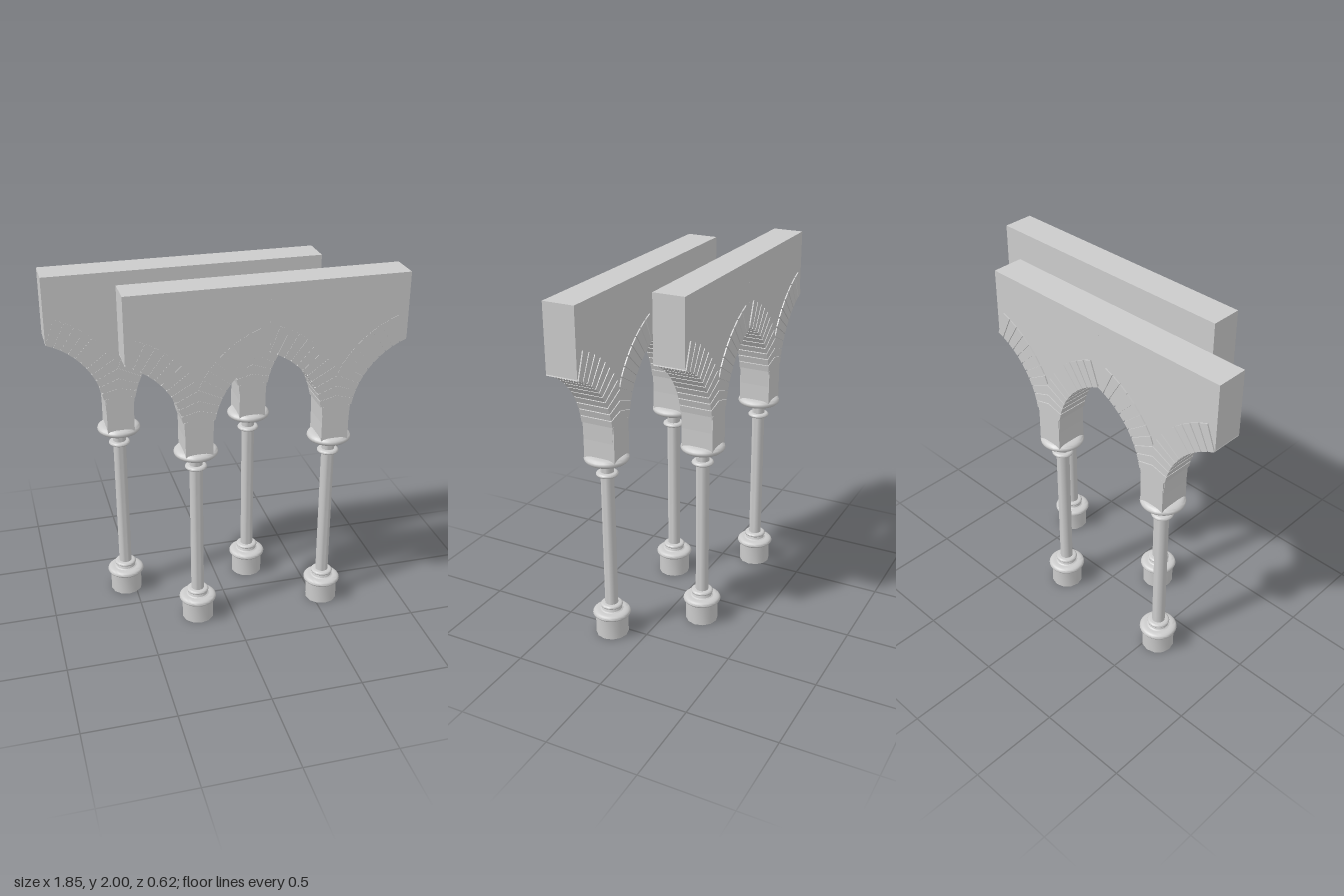
import * as THREE from 'three';
import { mergeGeometries, toCreasedNormals } from 'three/addons/utils/BufferGeometryUtils.js';

const material = new THREE.MeshStandardMaterial({ color: 0xcccccc });

const HALF = 0.375; // half width of one bay
const ARC = { x: 0.529, y: 1.212, r: 0.455, start: 170.8, end: 109.8 };

// Point on the arch at fraction t (springing to crown), offset outward
function archPoint(t, offset = 0) {
  const a = THREE.MathUtils.degToRad(ARC.start + (ARC.end - ARC.start) * t);
  const c = Math.cos(a), s = Math.sin(a);
  // keep the point between the column axis and the bay edge
  const r = Math.min(ARC.r + offset, ARC.x / -c);
  return new THREE.Vector2(Math.min(ARC.x + r * c, HALF), ARC.y + r * s);
}

const mirror = (points) => points.map((p) => new THREE.Vector2(-p.x, p.y));

function slab(points, zBack, zFront) {
  const g = new THREE.ExtrudeGeometry(new THREE.Shape(points), {
    depth: zFront - zBack, bevelEnabled: false,
  });
  return g.translate(0, 0, zBack);
}

function mesh(name, geometry) {
  const m = new THREE.Mesh(geometry, material);
  m.name = name;
  return m;
}

function lathe(points, segments) {
  const g = new THREE.LatheGeometry(points.map(([r, y]) => new THREE.Vector2(r, y)), segments);
  return toCreasedNormals(g, 0.7);
}

// Flattened round moulding
function moulding(y, radius, halfHeight) {
  const points = [];
  const core = radius - halfHeight * 1.6;
  points.push([0, y - halfHeight]);
  for (let i = 0; i <= 8; i++) {
    const a = -Math.PI / 2 + (Math.PI * i) / 8;
    points.push([core + Math.cos(a) * halfHeight * 1.6, y + Math.sin(a) * halfHeight]);
  }
  points.push([0, y + halfHeight]);
  return lathe(points, 32);
}

function column() {
  const group = new THREE.Group();
  group.name = 'column';
  group.add(
    mesh('plinth', lathe([[0, 0], [0.09, 0], [0.09, 0.115], [0, 0.115]], 12)),
    mesh('baseMoulding', moulding(0.132, 0.105, 0.019)),
    mesh('baseNeck', lathe([[0.075, 0.145], [0.056, 0.155], [0.05, 0.172]], 32)),
    mesh('baseRing', moulding(0.18, 0.062, 0.011)),
    mesh('shaft', lathe([[0.036, 0.15], [0.036, 1.07]], 24)),
    mesh('neckRing', moulding(0.98, 0.06, 0.012)),
    mesh('capital', moulding(1.073, 0.12, 0.024)),
  );
  return group;
}

function bay() {
  const group = new THREE.Group();
  group.name = 'bay';

  // Spandrel wall between the two half arches
  const curve = [];
  for (let i = 0; i <= 16; i++) curve.push(archPoint(i / 16));
  const right = [new THREE.Vector2(0.07, 1.09), ...curve, new THREE.Vector2(HALF, 2)];
  group.add(mesh('spandrelWall', slab([...right, ...mirror(right).reverse()], -0.085, 0.0885)));

  // Impost block carrying the arches
  const block = [[-0.075, 1.08], [0.075, 1.08], [0.075, 1.265], [0.08, 1.285],
    [0, 1.31], [-0.08, 1.285], [-0.075, 1.265]].map(([x, y]) => new THREE.Vector2(x, y));
  group.add(mesh('impostBlock', slab(block, -0.092, 0.09)));

  // Wedge stones lining both half arches, with thin joints
  const count = 11, gap = 0.006, stones = [];
  for (let i = 0; i < count; i++) {
    const a = i / count + gap, b = (i + 1) / count - gap;
    const wedge = [archPoint(a, -0.006), archPoint(b, -0.006), archPoint(b, 0.14), archPoint(a, 0.14)];
    stones.push(slab(wedge, -0.092, 0.09), slab(mirror(wedge), -0.092, 0.09));
  }
  group.add(mesh('archStones', mergeGeometries(stones)));

  group.add(column());
  return group;
}

export function createModel() {
  const model = new THREE.Group();
  model.name = 'arcade';
  // Two parallel walls of two bays, staggered sideways
  const walls = [['frontArcade', 0.175, 0.19], ['backArcade', -0.175, -0.195]];
  for (const [name, x, z] of walls) {
    const wall = new THREE.Group();
    wall.name = name;
    wall.position.set(x, 0, z);
    for (const side of [-1, 1]) {
      const b = bay();
      b.position.x = side * HALF;
      wall.add(b);
    }
    model.add(wall);
  }
  return model;
}
